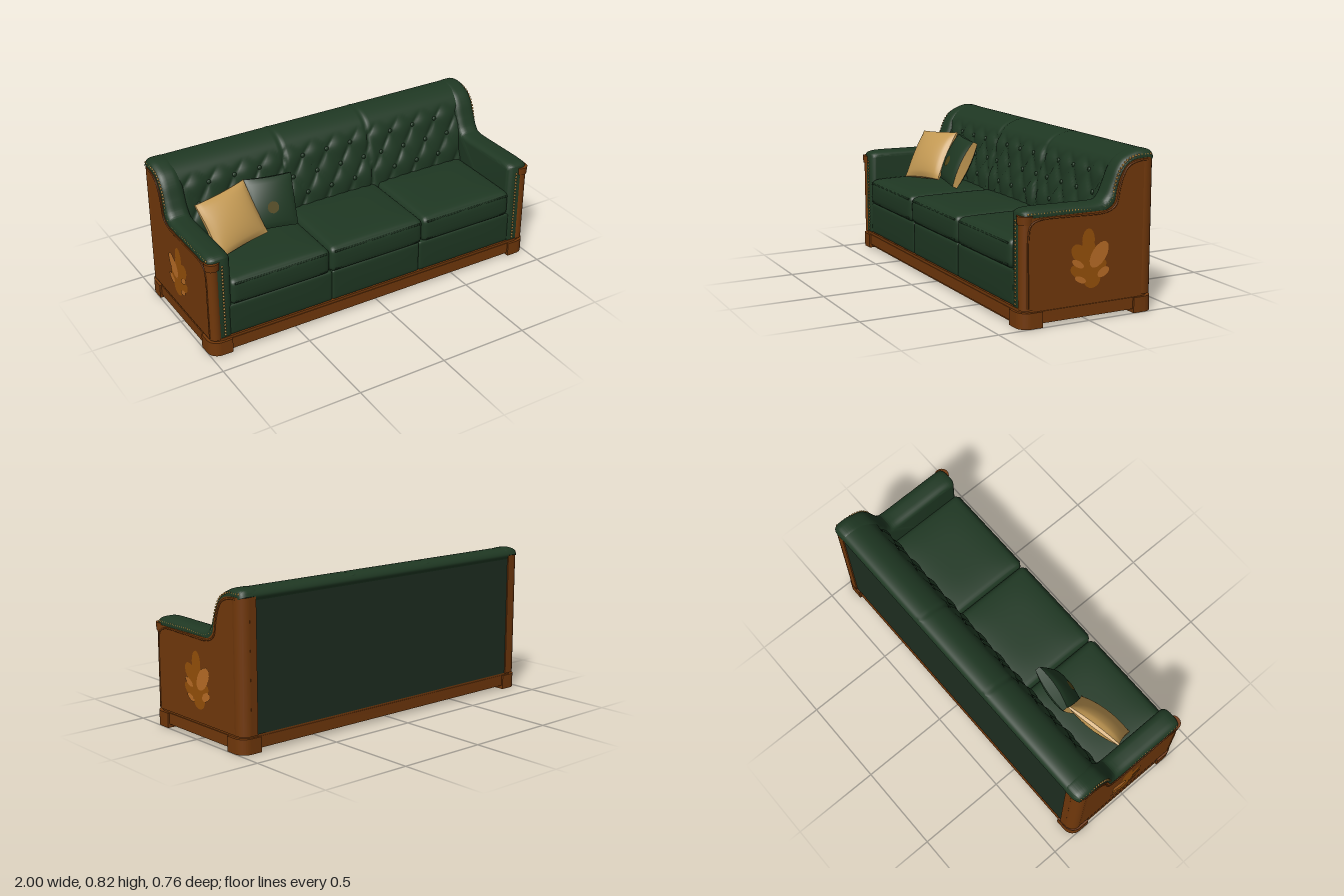
import * as THREE from 'three';
import { mergeGeometries, mergeVertices, toCreasedNormals } from 'three/addons/utils/BufferGeometryUtils.js';

const mat = (name, color, side = THREE.FrontSide) => {
  const m = new THREE.MeshStandardMaterial({ color, side });
  m.name = name;
  return m;
};

export function createModel() {
  const sofa = new THREE.Group();
  sofa.name = 'sofa';
  const green = mat('green leather', 0x1f3823, THREE.DoubleSide);
  const backCloth = mat('back cloth', 0x1e2e21);
  const wood = mat('wood', 0x71380b);
  const leafDark = mat('dark leaf inlay', 0x955009, THREE.DoubleSide);
  const leafLight = mat('light leaf inlay', 0xb86c26, THREE.DoubleSide);
  const gold = mat('gold fabric', 0xc49a54);
  const brass = mat('brass', 0xa67c34);
  const under = mat('underside cloth', 0x342a0a);
  const emblemMat = mat('emblem', 0x4e4416, THREE.DoubleSide);

  const add = (name, geo, material, x = 0, y = 0, z = 0, parent = sofa) => {
    const mesh = new THREE.Mesh(geo, material);
    mesh.name = name;
    mesh.position.set(x, y, z);
    parent.add(mesh);
    return mesh;
  };
  const box = (name, m, x0, x1, y0, y1, z0, z1) =>
    add(name, new THREE.BoxGeometry(x1 - x0, y1 - y0, z1 - z0), m, (x0 + x1) / 2, (y0 + y1) / 2, (z0 + z1) / 2);

  // Box with edges rounded by r, a crowned top and a bulging front
  const cushion = (name, m, x0, x1, y0, y1, z0, z1, r, crown, bulge) => {
    const half = new THREE.Vector3(x1 - x0, y1 - y0, z1 - z0).multiplyScalar(0.5);
    const core = half.clone().subScalar(r);
    const g = new THREE.BoxGeometry(2, 2, 2, 28, 14, 20);
    const p = g.attributes.position, v = new THREE.Vector3(), c = new THREE.Vector3();
    const ease = (a) => Math.sin(a * Math.PI / 2);
    for (let i = 0; i < p.count; i++) {
      v.fromBufferAttribute(p, i);
      v.set(ease(v.x), ease(v.y), ease(v.z));
      const lift = crown * (1 - v.x ** 4) * (1 - v.z ** 4) * Math.max(0, v.y);
      const push = bulge * (1 - v.x ** 4) * (1 - v.y ** 2) * Math.max(0, v.z);
      v.multiply(half);
      c.copy(v).clamp(core.clone().negate(), core);
      v.sub(c).setLength(r).add(c);
      p.setXYZ(i, v.x, v.y + lift, v.z + push);
    }
    g.deleteAttribute('normal');
    g.deleteAttribute('uv');
    const smooth = mergeVertices(g, 1e-5);
    smooth.computeVertexNormals();
    add(name, smooth, m, (x0 + x1) / 2, (y0 + y1) / 2, (z0 + z1) / 2);
  };

  // Rounded rectangle in plan, extruded upward
  const roundRect = (P, w, d, r) => {
    const s = new P();
    s.moveTo(-w + r, -d);
    s.lineTo(w - r, -d); s.absarc(w - r, -d + r, r, -Math.PI / 2, 0);
    s.lineTo(w, d - r); s.absarc(w - r, d - r, r, 0, Math.PI / 2);
    s.lineTo(-w + r, d); s.absarc(-w + r, d - r, r, Math.PI / 2, Math.PI);
    s.lineTo(-w, -d + r); s.absarc(-w + r, -d + r, r, Math.PI, Math.PI * 1.5);
    return s;
  };
  const upright = (shape, h) => toCreasedNormals(
    new THREE.ExtrudeGeometry(shape, { depth: h, bevelEnabled: false, curveSegments: 8 }).rotateX(-Math.PI / 2), 0.6);

  // Plinth frame, top moulding and recessed underside
  const plinth = roundRect(THREE.Shape, 0.99, 0.37, 0.06);
  plinth.holes.push(roundRect(THREE.Path, 0.92, 0.31, 0.02));
  add('plinthFrame', upright(plinth, 0.06), wood, 0, 0.02, 0);
  add('plinthMoulding', upright(roundRect(THREE.Shape, 0.985, 0.367, 0.06), 0.018), wood, 0, 0.077, 0);
  box('undersidePanel', under, -0.93, 0.93, 0.045, 0.06, -0.32, 0.32);
  box('lowerRail', wood, -0.89, 0.89, 0.012, 0.036, 0.345, 0.366);

  // Corner feet with a rounded outer corner
  for (const sx of [-1, 1]) for (const sz of [-1, 1]) {
    const s = new THREE.Shape();
    s.moveTo(-0.06, -0.06);
    s.lineTo(0.06, -0.06);
    s.lineTo(0.06, 0.0);
    s.absarc(0, 0, 0.06, 0, Math.PI / 2);
    s.lineTo(-0.06, 0.06);
    const turn = sx > 0 ? (sz > 0 ? -Math.PI / 2 : 0) : (sz > 0 ? Math.PI : Math.PI / 2);
    add('foot', upright(s, 0.08).rotateY(turn), wood, sx * 0.94, 0, sz * 0.32);
  }

  // Side profile (z, y) extruded across the width from x0 to x1
  const V = (a) => a.map(([x, y]) => new THREE.Vector2(x, y));
  const sideways = (shape, x0, x1, bevel, t) => {
    const g = new THREE.ExtrudeGeometry(shape, {
      depth: x1 - x0 - 2 * t, bevelEnabled: bevel > 0, bevelThickness: t, bevelSize: bevel,
      bevelOffset: -bevel, bevelSegments: 6, curveSegments: 12 });
    return toCreasedNormals(g.rotateY(-Math.PI / 2).translate(x1 - t, 0, 0), 0.7);
  };
  const span = (s, a, b) => (s > 0 ? [a, b] : [-b, -a]);

  const rise = [[-0.105, 0.545], [-0.14, 0.575], [-0.155, 0.64], [-0.175, 0.70], [-0.21, 0.75], [-0.26, 0.775], [-0.33, 0.78]];
  const panelShape = new THREE.Shape();
  panelShape.moveTo(0.335, 0.09);
  panelShape.lineTo(0.335, 0.54);
  panelShape.lineTo(-0.08, 0.54);
  panelShape.splineThru(V(rise));
  panelShape.lineTo(-0.33, 0.09);

  const armShape = new THREE.Shape();
  armShape.moveTo(0.364, 0.09);
  armShape.lineTo(0.364, 0.55);
  armShape.splineThru(V([[0.35, 0.572], [0.29, 0.582], [0.1, 0.58], [-0.06, 0.58], [-0.10, 0.60], [-0.13, 0.66], [-0.16, 0.73],
    [-0.20, 0.78], [-0.26, 0.81], [-0.31, 0.82], [-0.36, 0.812], [-0.38, 0.782]]));
  armShape.lineTo(-0.345, 0.74);
  armShape.lineTo(-0.345, 0.09);

  const nail = (x, y, z) => new THREE.SphereGeometry(0.0065, 6, 5).translate(x, y, z);
  const nailPath = new THREE.CatmullRomCurve3([[0.335, 0.557], [0.1, 0.556], [-0.09, 0.556], [-0.128, 0.59], [-0.145, 0.65],
    [-0.168, 0.715], [-0.205, 0.765], [-0.26, 0.791], [-0.35, 0.795]].map(([z, y]) => new THREE.Vector3(0, y, z)));

  // Leaf inlay: [z, y, half length, half width, tilt, light]
  const leaves = [
    [0.005, 0.40, 0.06, 0.036, 1.57, 0], [0.005, 0.31, 0.10, 0.05, 1.57, 0], [-0.018, 0.205, 0.048, 0.045, 0, 0],
    [0.055, 0.34, 0.055, 0.038, 2.3, 0], [0.06, 0.25, 0.05, 0.03, 2.6, 0], [-0.055, 0.26, 0.05, 0.03, 0.6, 0],
    [-0.055, 0.325, 0.073, 0.042, 0.95, 1], [0.065, 0.29, 0.038, 0.016, 2.6, 1],
    [0.05, 0.21, 0.034, 0.015, 2.7, 1], [-0.08, 0.235, 0.036, 0.022, 0.5, 1]];

  for (const s of [-1, 1]) {
    // Upholstered arm and wing, wooden side panel, rounded back post
    add('armUpholstery', sideways(armShape, ...span(s, 0.86, 0.988), 0.03, 0.045), green);
    add('sidePanel', sideways(panelShape, ...span(s, 0.93, 0.99), 0, 0), wood);
    add('backPost', new THREE.CylinderGeometry(0.055, 0.055, 0.69, 24), wood, s * 0.937, 0.435, -0.324);
    const [a, b] = span(s, 0.9, 0.94);
    box('backPostInner', wood, a, b, 0.09, 0.78, -0.379, -0.33);
    // Rounded front post and its capital
    add('frontPost', new THREE.CylinderGeometry(0.034, 0.034, 0.45, 20), wood, s * 0.956, 0.315, 0.335);
    add('frontCapital', new THREE.CylinderGeometry(0.041, 0.038, 0.042, 20), wood, s * 0.956, 0.529, 0.338);
    // Raised moulding around the side panel
    const mould = new THREE.CatmullRomCurve3([[0.338, 0.1], [0.338, 0.3], [0.336, 0.46], [0.325, 0.505], [0.28, 0.528],
      [0.1, 0.53], [-0.1, 0.532], [-0.15, 0.56], [-0.17, 0.64], [-0.19, 0.70], [-0.22, 0.745], [-0.28, 0.768], [-0.33, 0.77]]
      .map(([z, y]) => new THREE.Vector3(s * 0.989, y, z)));
    add('panelMoulding', new THREE.TubeGeometry(mould, 70, 0.005, 6), wood);
    // Brass nails along the arm edge and down the arm front
    const nails = nailPath.getSpacedPoints(48).map((v) => nail(s * 0.982, v.y, v.z));
    for (let i = 0; i < 22; i++) nails.push(nail(s * 0.912, 0.11 + i * 0.0195, 0.364));
    add('brassNails', mergeGeometries(nails), brass);
    // Leaf inlay
    const inlay = new THREE.Group();
    inlay.name = 'leafInlay';
    sofa.add(inlay);
    leaves.forEach(([z, y, l, w, tilt, light], i) => {
      const g = new THREE.CircleGeometry(1, 16).scale(l, w, 1).rotateZ(s * tilt).rotateY(s * Math.PI / 2);
      add('leaf', g, light ? leafLight : leafDark, s * (0.9915 + light * 0.002 + i * 0.0002), y, z, inlay);
    });
  }

  // Seat cushions with piping, and front aprons
  const seatX = [-0.872, -0.29, 0.29, 0.872], apronX = [-0.885, -0.275, 0.275, 0.885];
  for (let i = 0; i < 3; i++) {
    const [a, b] = [seatX[i], seatX[i + 1]];
    cushion('seatCushion', green, a, b, 0.268, 0.418, -0.14, 0.37, 0.032, 0.016, 0.008);
    for (const y of [0.292, 0.398]) {
      const pipe = new THREE.CylinderGeometry(0.005, 0.005, b - a - 0.05, 6).rotateZ(Math.PI / 2);
      add('seatPiping', pipe, green, (a + b) / 2, y, 0.368);
    }
    cushion('frontApron', green, apronX[i], apronX[i + 1], 0.092, 0.272, 0.2, 0.36, 0.012, 0, 0.003);
  }

  // Tufted backrest swept along a profile, puffed between the buttons
  const profile = new THREE.CatmullRomCurve3([[-0.10, 0.38], [-0.115, 0.5], [-0.145, 0.6], [-0.172, 0.70], [-0.21, 0.77],
    [-0.26, 0.807], [-0.31, 0.818], [-0.36, 0.81], [-0.379, 0.785], [-0.372, 0.76]].map(([z, y]) => new THREE.Vector3(0, y, z)));
  const rowT = (r) => 0.1 + r * 0.11;
  const centres = [-0.565, 0, 0.565];
  const surface = (x, t) => {
    const p = profile.getPoint(t);
    const c = centres[x < -0.265 ? 0 : x > 0.265 ? 2 : 1];
    const X = (x - c) / 0.15, r = (t - 0.1) / 0.11;
    const tuft = Math.sqrt(Math.abs(Math.sin(Math.PI * (X + r / 2)) * Math.sin(Math.PI * (X - r / 2))));
    const fade = THREE.MathUtils.smoothstep(r, 2.0, 3.0);
    const seam = Math.min(Math.abs(Math.abs(x) - 0.265) / 0.02, 1);
    const front = 1 - THREE.MathUtils.smoothstep(t, 0.4, 0.6);
    const puff = 0.019 * (tuft * (1 - fade) + 0.6 * fade) * front - 0.008 * (1 - seam) * (t < 0.8 ? 1 : 0);
    return new THREE.Vector3(x, p.y + puff * 0.25, p.z + puff);
  };
  const back = new THREE.PlaneGeometry(1, 1, 180, 60);
  const bp = back.attributes.position;
  for (let i = 0; i < bp.count; i++) {
    const v = surface(bp.getX(i) * 1.84, bp.getY(i) + 0.5);
    bp.setXYZ(i, v.x, v.y, v.z);
  }
  back.computeVertexNormals();
  add('tuftedBackrest', back, green);
  const buttons = [];
  for (const c of centres) for (let r = 0; r < 3; r++)
    for (const k of r === 1 ? [-1.5, -0.5, 0.5, 1.5] : [-1, 0, 1]) {
      const v = surface(c + k * 0.15, rowT(r));
      buttons.push(new THREE.SphereGeometry(0.013, 10, 6).scale(1, 1, 0.6).translate(v.x, v.y, v.z + 0.003));
    }
  add('backButtons', mergeGeometries(buttons), green);

  // Flat rear panel
  box('rearPanel', backCloth, -0.92, 0.92, 0.092, 0.78, -0.372, -0.35);

  // Throw pillows: subdivided boxes with bulging faces and drawn-in edges
  const pillow = (name, w, h, d, bulge, material, pos, rot) => {
    const g = new THREE.BoxGeometry(w, h, d, 18, 18, 2);
    const p = g.attributes.position;
    for (let i = 0; i < p.count; i++) {
      const u = p.getX(i) / w * 2, v = p.getY(i) / h * 2, z = p.getZ(i);
      const lift = Math.pow(Math.max(0, (1 - u * u) * (1 - v * v)), 0.6);
      p.setXYZ(i, p.getX(i) * (1 - 0.04 * (1 - v * v)), p.getY(i) * (1 - 0.04 * (1 - u * u)),
        z * (1 - 0.5 * u * u * v * v) + Math.sign(z) * bulge * lift);
    }
    g.computeVertexNormals();
    const m = add(name, g, material, ...pos);
    m.rotation.set(...rot, 'YXZ');
    return m;
  };
  pillow('goldPillow', 0.32, 0.305, 0.02, 0.045, gold, [-0.697, 0.567, 0.05], [-0.55, 0.16, 0.1]);
  const second = pillow('greenPillow', 0.265, 0.28, 0.055, 0.028, [gold, gold, green, green, green, green],
    [-0.443, 0.567, 0], [-0.45, -0.13, -0.04]);
  add('pillowEmblem', new THREE.CircleGeometry(0.032, 16), emblemMat, -0.005, -0.025, 0.0575, second);

  return sofa;
}
